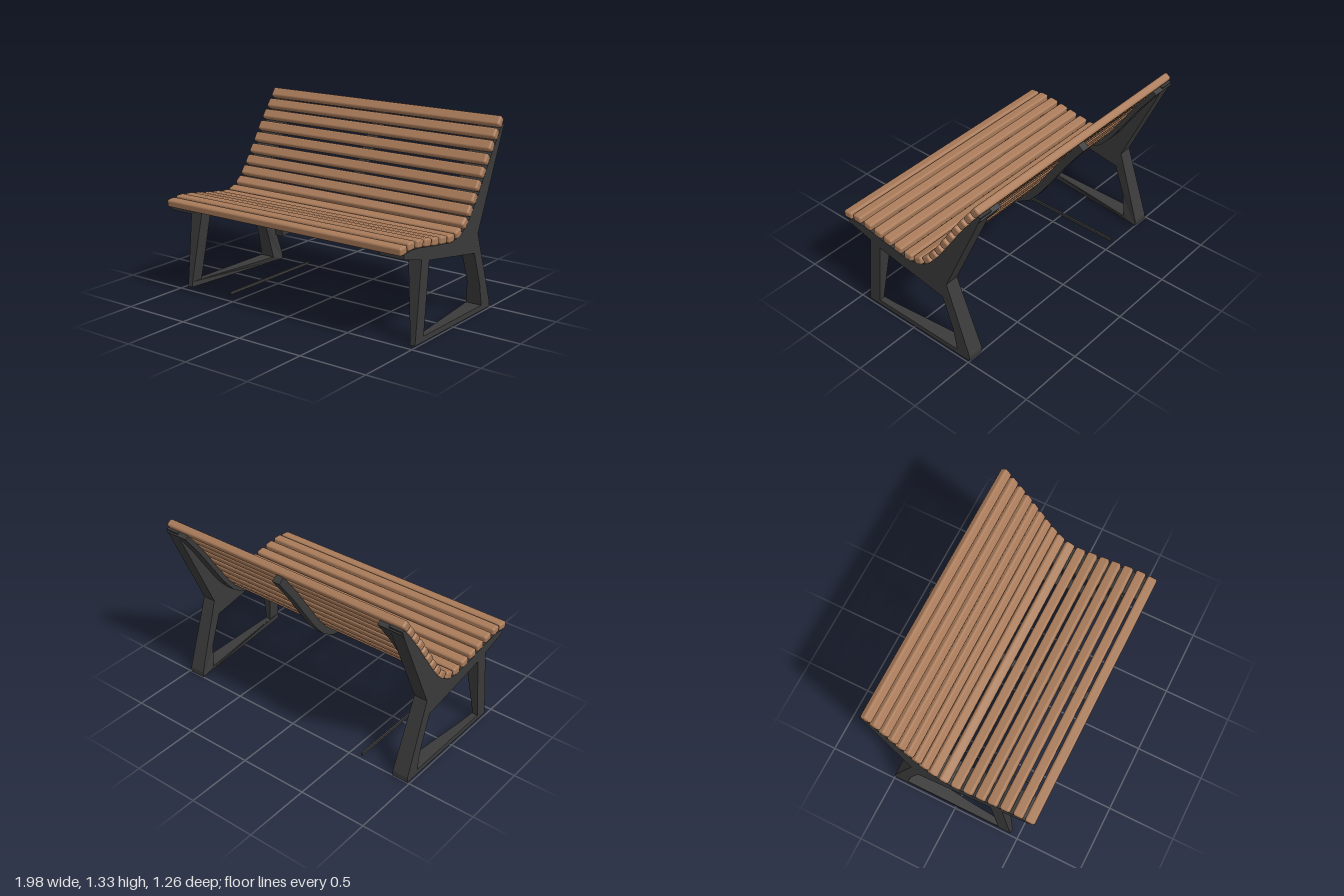
import * as THREE from 'three';
import { RoundedBoxGeometry } from 'three/addons/geometries/RoundedBoxGeometry.js';

// Slat centres in the side plane as [z, y], from the seat's front edge to the top of the back
const SLATS = [
  [0.585, 0.668], [0.497, 0.678], [0.4, 0.67], [0.305, 0.655], [0.215, 0.64], [0.12, 0.627],
  [0.025, 0.615], [-0.065, 0.63], [-0.145, 0.68], [-0.205, 0.75], [-0.257, 0.822], [-0.307, 0.9],
  [-0.36, 0.98], [-0.41, 1.06], [-0.465, 1.14], [-0.52, 1.215], [-0.575, 1.29],
].map(([z, y]) => new THREE.Vector2(z, y));

// Direction along the seat curve, pointing to the front
const tangent = (i) => SLATS[Math.max(i - 1, 0)].clone().sub(SLATS[Math.min(i + 1, SLATS.length - 1)]).normalize();

// The seat curve moved along its normal by d
const offsetCurve = (d) => SLATS.map((p, i) => {
  const t = tangent(i);
  return new THREE.Vector2(p.x - t.y * d, p.y + t.x * d);
});

// Extrudes a side-plane shape so that it spans x - width to x
function extrudeAcross(shape, width, x) {
  const geometry = new THREE.ExtrudeGeometry(shape, { depth: width, bevelEnabled: false });
  return geometry.rotateY(-Math.PI / 2).translate(x, 0, 0);
}

// A strip that follows the underside of the slats
const ribShape = (depth) => new THREE.Shape([...offsetCurve(-0.026), ...offsetCurve(-0.026 - depth).reverse()]);

// Side frame outline with the opening between the legs
function frameShape() {
  const v = (z, y) => new THREE.Vector2(z, y);
  const shape = new THREE.Shape([
    ...offsetCurve(-0.026),
    v(-0.622, 1.275), v(-0.57, 1.15), v(-0.315, 0.57),
    v(-0.5, 0.04), v(-0.5, 0), v(0.44, 0), v(0.435, 0.04), v(0.38, 0.56), v(0.58, 0.61),
  ]);
  shape.holes.push(new THREE.Path([v(0.29, 0.535), v(0.34, 0.038), v(-0.39, 0.038), v(-0.36, 0.2), v(-0.275, 0.44)]));
  return shape;
}

export function createModel() {
  const wood = new THREE.MeshStandardMaterial({ color: 0xa97b5a });
  wood.name = 'brown wood';
  const iron = new THREE.MeshStandardMaterial({ color: 0x3a3a3b });
  iron.name = 'dark iron';

  const bench = new THREE.Group();
  bench.name = 'bench';
  const add = (name, geometry, material) => {
    const mesh = new THREE.Mesh(geometry, material);
    mesh.name = name;
    bench.add(mesh);
    return mesh;
  };

  // Wooden slats, tilted to follow the seat curve
  const slatGeometry = new RoundedBoxGeometry(1.98, 0.056, 0.074, 2, 0.016);
  SLATS.forEach((p, i) => {
    const slat = add(i < 8 ? 'seatSlat' : 'backSlat', slatGeometry, wood);
    const t = tangent(i);
    slat.position.set(0, p.y, p.x);
    slat.rotation.x = -Math.atan2(t.y, t.x);
  });

  // Side frames: front legs taper to the foot, back feet widen
  for (const side of [1, -1]) {
    const geometry = extrudeAcross(frameShape(), 1, 0);
    const pos = geometry.attributes.position;
    for (let i = 0; i < pos.count; i++) {
      const low = pos.getY(i) < 0.05;
      const width = !low ? 0.1 : pos.getZ(i) > 0 ? 0.04 : 0.12;
      const inward = side > 0 ? -pos.getX(i) : pos.getX(i) + 1;
      pos.setX(i, side * (0.985 - inward * width));
    }
    geometry.computeVertexNormals();
    add(side > 0 ? 'leftFrame' : 'rightFrame', geometry, iron);

    // Wide flange that carries the slat ends
    add('slatFlange', extrudeAcross(ribShape(0.035), 0.18, side > 0 ? 0.982 : -0.802), iron);
  }

  // Middle rib under the seat and behind the back
  add('middleRib', extrudeAcross(ribShape(0.055), 0.06, 0.022), iron);

  // Thin rod on the ground
  const rod = add('groundRod', new THREE.BoxGeometry(0.014, 0.02, 0.9), iron);
  rod.position.set(-0.593, 0.022, -0.03);

  return bench;
}
